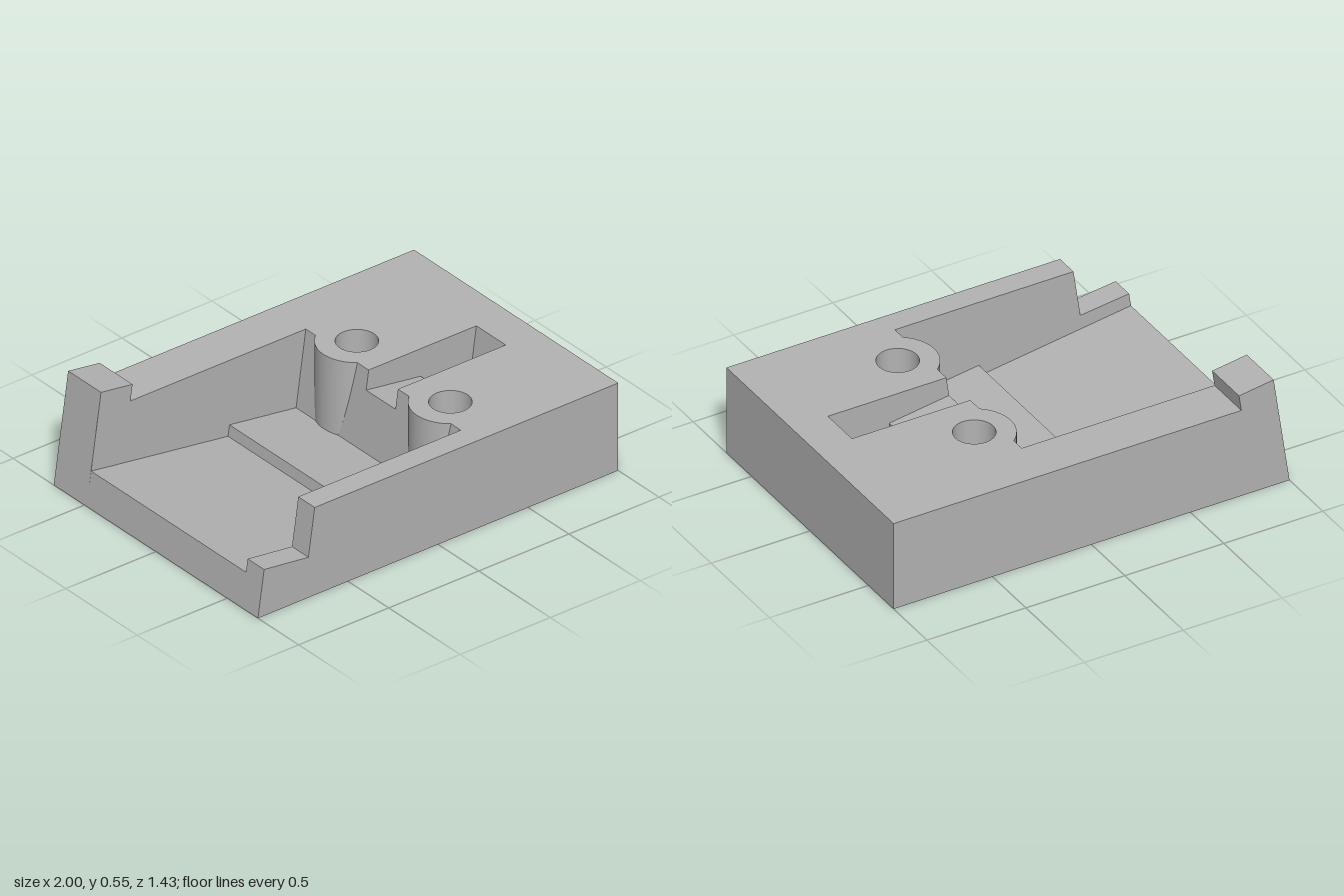
import * as THREE from 'three';

const H = 0.445, ZB = -0.715, ZF = 0.715;       // deck height, outer sides
const PB = -0.485, PF = 0.6;                    // pocket sides
const SB = -0.045, SF = 0.16;                   // slot sides
const HOLE_X = 0.33, HOLES = [-0.27, 0.385], HOLE_R = 0.095, SINK_R = 0.174, BOSS_R = 0.185;
const WALL0 = [0.163, 0.065], WALL1 = [0.217, H]; // tilted end wall of the pocket

// profiles in (x, y)
const floor = [[-0.975, 0.17], [-0.215, 0.062], [-0.207, 0.117], WALL0];
const tab = [[-0.92, 0.55], [-0.745, 0.525], [-0.757, H]];
const ledge = [[-0.966, 0.235], [-0.72, 0.205], [-0.685, H]];
const slotFloor = [[0.203, 0.348], [0.505, 0.305], [0.461, 0]];
const slotEnd = [[0.752, 0], [0.815, H]];

const wallX = y => WALL0[0] + (y - WALL0[1]) * (WALL1[0] - WALL0[0]) / (WALL1[1] - WALL0[1]);
const wallY = x => WALL0[1] + (x - WALL0[0]) * (WALL1[1] - WALL0[1]) / (WALL1[0] - WALL0[0]);
const bossTop = Math.acos((HOLE_X - WALL1[0]) / BOSS_R);
const bossLow = Math.acos((HOLE_X - WALL0[0]) / BOSS_R);
const bossX = t => HOLE_X - BOSS_R * Math.cos(t);

function buffer(positions) {
  const g = new THREE.BufferGeometry();
  g.setAttribute('position', new THREE.Float32BufferAttribute(positions, 3));
  return g;
}

// ribbon of flat faces following a profile between two z values
function strip(profile, z0, z1) {
  const p = [];
  for (let i = 0; i + 1 < profile.length; i++) {
    const [ax, ay] = profile[i], [bx, by] = profile[i + 1];
    p.push(ax, ay, z0, ax, ay, z1, bx, by, z1, ax, ay, z0, bx, by, z1, bx, by, z0);
  }
  const g = buffer(p);
  g.computeVertexNormals();
  return g;
}

// flat polygon with holes, placed in space by a mapping
function plate(points, map, flip = false, holes = []) {
  const toV = list => list.map(([u, v]) => new THREE.Vector2(u, v));
  const shape = new THREE.Shape(toV(points));
  holes.forEach(h => shape.holes.push(new THREE.Path(toV(h))));
  const src = new THREE.ShapeGeometry(shape).toNonIndexed().attributes.position;
  const p = [];
  for (let i = 0; i < src.count; i += 3) {
    for (const k of flip ? [0, 2, 1] : [0, 1, 2]) p.push(...map(src.getX(i + k), src.getY(i + k)));
  }
  const g = buffer(p);
  g.computeVertexNormals();
  return g;
}

const circle = (cz, r) => Array.from({ length: 64 }, (_, i) => {
  const a = i / 64 * Math.PI * 2;
  return [HOLE_X + r * Math.sin(a), cz + r * Math.cos(a)];
});

// outline of a boss in (x, z), running towards -z
const bossArc = cz => Array.from({ length: 33 }, (_, i) => {
  const t = bossTop * (1 - i / 16);
  return [bossX(t), cz + BOSS_R * Math.sin(t)];
});

// where a boss meets the end wall, in (z, y), from the top down
const bossSeam = (cz, side) => Array.from({ length: 13 }, (_, i) => {
  const t = bossTop + (bossLow - bossTop) * i / 12;
  return [cz + side * BOSS_R * Math.sin(t), wallY(bossX(t))];
});

function bossGeometry(cz) {
  const p = [], index = [], n = 48;
  for (let i = 0; i <= n; i++) {
    const t = bossTop * (2 * i / n - 1), x = bossX(t), z = cz + BOSS_R * Math.sin(t);
    p.push(x, Math.max(wallY(x), WALL0[1]), z, x, H, z);
    if (i < n) {
      const a = i * 2;
      index.push(a, a + 2, a + 3, a, a + 3, a + 1);
    }
  }
  const g = buffer(p);
  g.setIndex(index);
  g.computeVertexNormals();
  return g;
}

export function createModel() {
  const group = new THREE.Group();
  const grey = new THREE.MeshStandardMaterial({ color: 0xb3b3b3, side: THREE.DoubleSide });
  grey.name = 'grey';
  const add = (name, geometry) => {
    const mesh = new THREE.Mesh(geometry, grey);
    mesh.name = name;
    group.add(mesh);
    return mesh;
  };
  const atZ = z => (u, v) => [u, v, z];
  const atY = y => (u, v) => [u, y, v];
  const onWall = (u, v) => [wallX(v), v, u];

  // underside and deck
  add('underside', plate([[-1, ZB], [1, ZB], [1, ZF], [-1, ZF]], atY(0), false, [
    ...HOLES.map(cz => circle(cz, SINK_R)),
    [[0.461, SB], [0.752, SB], [0.752, SF], [0.461, SF]],
  ]));
  add('deck', plate([
    [-0.757, ZB], [1, ZB], [1, ZF], [-0.685, ZF], [-0.685, PF], [WALL1[0], PF],
    ...bossArc(HOLES[1]),
    [WALL1[0], SF], [0.815, SF], [0.815, SB], [WALL1[0], SB],
    ...bossArc(HOLES[0]),
    [WALL1[0], PB], [-0.757, PB],
  ], atY(H), true, HOLES.map(cz => circle(cz, HOLE_R))));

  // outer sides
  add('backSide', plate([[-1, 0], ...tab, [1, H], [1, 0]], atZ(ZB), true));
  add('frontSide', plate([[-1, 0], ...ledge, [1, H], [1, 0]], atZ(ZF)));
  add('endSide', strip([[1, H], [1, 0]], ZB, ZF));

  // slanted end with raised tab, pocket floor and low ledge
  add('raisedTab', strip([[-1, 0], ...tab], ZB, PB));
  add('pocketFloor', strip([[-1, 0], ...floor], PB, PF));
  add('lowLedge', strip([[-1, 0], ...ledge], PF, ZF));

  // pocket side walls
  add('pocketBackWall', plate([...floor, WALL1, ...[...tab].reverse()], atZ(PB)));
  add('pocketFrontWall', plate([...floor, WALL1, ...[...ledge].reverse()], atZ(PF), true));

  // pocket end wall, in three pieces between the bosses
  const low = WALL0[1], notch = slotFloor[0][1];
  add('pocketEndWall', plate([[PB, low], [PB, H], ...bossSeam(HOLES[0], -1)], onWall));
  add('pocketEndWall', plate([
    ...bossSeam(HOLES[0], 1).reverse(), [SB, H], [SB, notch], [SF, notch], [SF, H],
    ...bossSeam(HOLES[1], -1),
  ], onWall));
  add('pocketEndWall', plate([[PF, low], [PF, H], ...bossSeam(HOLES[1], 1)], onWall));

  // screw bosses with countersunk holes
  for (const cz of HOLES) {
    add('boss', bossGeometry(cz));
    const bore = [[HOLE_R, H], [HOLE_R, 0.08]], sink = [[HOLE_R, 0.08], [SINK_R, 0]];
    for (const [name, line] of [['screwHole', bore], ['countersink', sink]]) {
      const g = new THREE.LatheGeometry(line.map(([r, y]) => new THREE.Vector2(r, y)), 64);
      add(name, g).position.set(HOLE_X, 0, cz);
    }
  }

  // slanted slot through the base
  const slotSide = [...slotFloor, ...slotEnd, WALL1];
  add('slotBackWall', plate(slotSide, atZ(SB)));
  add('slotFrontWall', plate(slotSide, atZ(SF), true));
  add('slotFloor', strip(slotFloor, SB, SF));
  add('slotEndWall', strip(slotEnd, SB, SF));

  return group;
}
